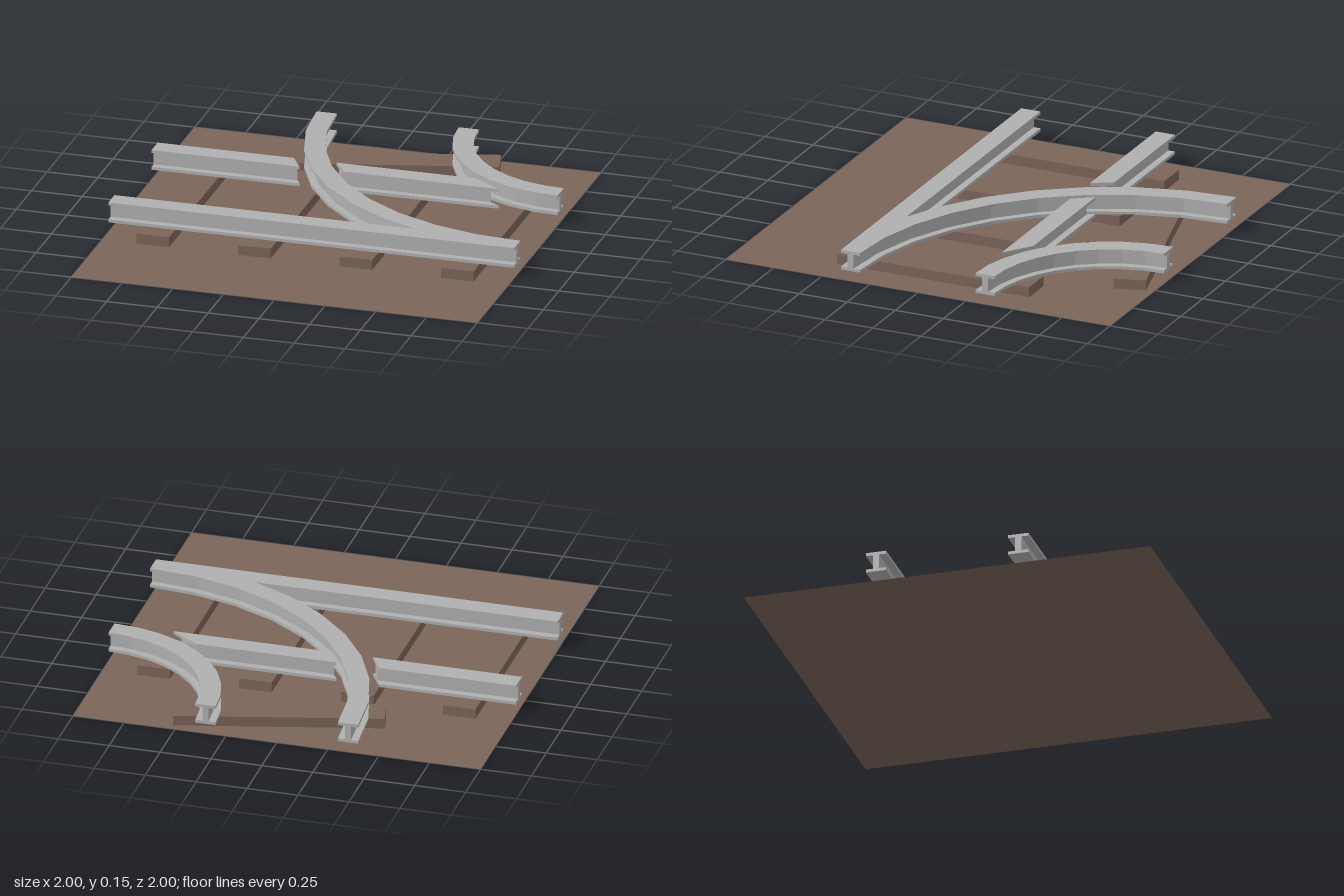
import * as THREE from 'three';

const steel = new THREE.MeshStandardMaterial({ color: 0xafafaf });
steel.name = 'steel grey';
const wood = new THREE.MeshStandardMaterial({ color: 0x7a6558, side: THREE.DoubleSide });
wood.name = 'brown wood';

// I-beam cross-section: x runs from -1 (left edge) to 1 (right edge), y is height
const half = [[1, 0.05], [1, 0.065], [0.3, 0.065], [0.3, 0.135], [1, 0.135], [1, 0.15]];
const profile = [...half, ...half.map(([s, y]) => [-s, y]).reverse()];
const capFaces = THREE.ShapeUtils.triangulateShape(profile.map(([s, y]) => new THREE.Vector2(s, y)), []);

// Sweeps the I-beam through stations, each given as [left, right] with points [x, z]
function rail(name, stations) {
  const rings = stations.map(([l, r]) => profile.map(([s, y]) => {
    const t = (s + 1) / 2;
    return [l[0] + (r[0] - l[0]) * t, y, l[1] + (r[1] - l[1]) * t];
  }));
  const pos = [];
  const tri = (a, b, c) => pos.push(...a, ...b, ...c);
  for (let k = 0; k < rings.length - 1; k++) {
    for (let i = 0; i < profile.length; i++) {
      const j = (i + 1) % profile.length;
      tri(rings[k][i], rings[k + 1][j], rings[k][j]);
      tri(rings[k][i], rings[k + 1][i], rings[k + 1][j]);
    }
  }
  const first = rings[0], last = rings[rings.length - 1];
  for (const [a, b, c] of capFaces) {
    tri(first[a], first[b], first[c]);
    tri(last[a], last[c], last[b]);
  }
  const geometry = new THREE.BufferGeometry();
  geometry.setAttribute('position', new THREE.Float32BufferAttribute(pos, 3));
  geometry.computeVertexNormals();
  const mesh = new THREE.Mesh(geometry, steel);
  mesh.name = name;
  return mesh;
}

// Straight rail along x; each end may be cut at a slant
function straightRail(name, z, [startL, startR], [endL, endR]) {
  const l = z - 0.05, r = z + 0.05;
  return rail(name, [[[startL, l], [startR, r]], [[endL, l], [endR, r]]]);
}

// Quarter-circle rail about the back left corner
function curvedRail(name, radius, segments = 9) {
  const stations = [];
  for (let i = 0; i <= segments; i++) {
    const a = (Math.PI / 2) * (1 - i / segments);
    const at = (r) => [1 - r * Math.sin(a), -1 + r * Math.cos(a)];
    stations.push([at(radius - 0.05), at(radius + 0.05)]);
  }
  return rail(name, stations);
}

function sleeper(name, width, depth, x, z, turn = 0) {
  const mesh = new THREE.Mesh(new THREE.BoxGeometry(width, 0.05, depth), wood);
  mesh.name = name;
  mesh.position.set(x, 0.025, z);
  mesh.rotation.y = turn;
  return mesh;
}

export function createModel() {
  const model = new THREE.Group();
  model.name = 'railSwitch';

  // Ground sheet
  const ground = new THREE.Mesh(new THREE.PlaneGeometry(2, 2).rotateX(-Math.PI / 2), wood);
  ground.name = 'ground';
  model.add(ground);

  // Sleepers
  [-0.75, -0.25, 0.25, 0.75].forEach((x, i) => model.add(sleeper(`sleeper${i + 1}`, 0.16, 1, x, 0)));
  model.add(sleeper('angledSleeper', 1, 0.155, 0.055, -0.763, 0.25));

  // Straight track, with the back rail cut where the branch crosses
  model.add(straightRail('frontRail', 0.35, [-1, -1], [1, 1]));
  model.add(straightRail('backRailRight', -0.35, [-1, -1], [-0.33, -0.27]));
  model.add(straightRail('backRailMiddle', -0.35, [-0.12, -0.05], [0.57, 0.71]));

  // Branch track
  model.add(curvedRail('outerCurvedRail', 1.35));
  model.add(curvedRail('innerCurvedRail', 0.65));
  return model;
}
